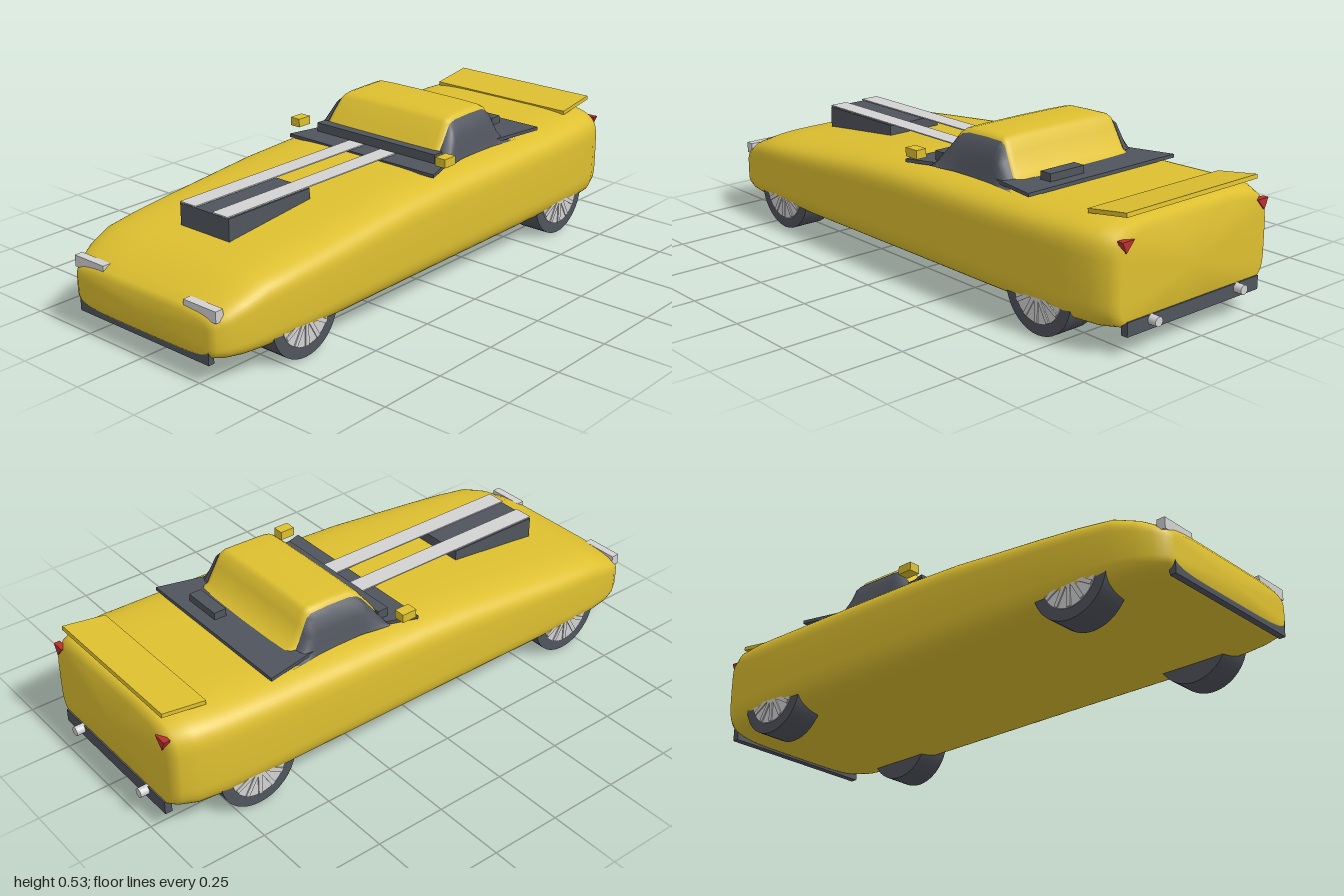
import * as THREE from 'three';

const paint = new THREE.MeshStandardMaterial({ color: 0xdec030, side: THREE.DoubleSide });
paint.name = 'yellow paint';
const dark = new THREE.MeshStandardMaterial({ color: 0x50545d, side: THREE.DoubleSide });
dark.name = 'dark trim';
const silver = new THREE.MeshStandardMaterial({ color: 0xd2d2d2 });
silver.name = 'light silver';
const red = new THREE.MeshStandardMaterial({ color: 0xb83030 });
red.name = 'red lens';

function add(parent, name, geometry, material, x = 0, y = 0, z = 0) {
  const mesh = new THREE.Mesh(geometry, material);
  mesh.name = name;
  mesh.position.set(x, y, z);
  parent.add(mesh);
  return mesh;
}

// Box given by its extents on each axis
function box(parent, name, material, [x0, x1], [y0, y1], [z0, z1]) {
  return add(parent, name, new THREE.BoxGeometry(x1 - x0, y1 - y0, z1 - z0), material,
    (x0 + x1) / 2, (y0 + y1) / 2, (z0 + z1) / 2);
}

// Smooth skin over rows of points; closed rows wrap around and get end caps
function skin(rows, closed = false) {
  const n = rows[0].length, pos = rows.flat(2), index = [];
  const spans = closed ? n : n - 1;
  for (let i = 0; i < rows.length - 1; i++) {
    for (let j = 0; j < spans; j++) {
      const k = (j + 1) % n;
      const a = i * n + j, b = i * n + k, d = a + n, c = b + n;
      index.push(a, d, b, b, d, c);
    }
  }
  if (closed) {
    const last = (rows.length - 1) * n, front = rows.length * n;
    for (const row of [rows[0], rows[rows.length - 1]]) {
      const ys = row.map((p) => p[1]);
      pos.push(0, (Math.min(...ys) + Math.max(...ys)) / 2, row[0][2]);
    }
    for (let j = 0; j < n; j++) {
      const k = (j + 1) % n;
      index.push(front, j, k, front + 1, last + k, last + j);
    }
  }
  const g = new THREE.BufferGeometry();
  g.setAttribute('position', new THREE.Float32BufferAttribute(pos, 3));
  g.setIndex(index);
  g.computeVertexNormals();
  return g;
}

// Flat outline extruded along z
function plate(points, depth) {
  const shape = new THREE.Shape(points.map((p) => new THREE.Vector2(...p)));
  return new THREE.ExtrudeGeometry(shape, { depth, bevelEnabled: false });
}

// Rounded-rectangle sections: z, half width, bottom, top
function bodyGeometry() {
  const stations = [
    [1.0, 0.29, 0.09, 0.21], [0.985, 0.315, 0.075, 0.23], [0.95, 0.338, 0.067, 0.25],
    [0.9, 0.358, 0.063, 0.278], [0.82, 0.373, 0.06, 0.31], [0.7, 0.381, 0.06, 0.326],
    [0.55, 0.385, 0.06, 0.342], [0.38, 0.386, 0.06, 0.36], [0.2, 0.387, 0.06, 0.379],
    [0, 0.387, 0.06, 0.39], [-0.3, 0.387, 0.06, 0.397], [-0.6, 0.386, 0.06, 0.404],
    [-0.78, 0.382, 0.06, 0.41], [-0.88, 0.37, 0.063, 0.41], [-0.935, 0.347, 0.07, 0.398],
    [-0.965, 0.32, 0.08, 0.38],
  ];
  const power = (v) => Math.sign(v) * Math.abs(v) ** 0.4;
  return skin(stations.map(([z, w, lo, hi]) => {
    const row = [];
    for (let j = 0; j < 64; j++) {
      const t = (j / 64) * Math.PI * 2;
      row.push([w * power(Math.cos(t)), (lo + hi) / 2 + (hi - lo) / 2 * power(Math.sin(t)), z]);
    }
    return row;
  }), true);
}

function addCabin(car) {
  const cabin = new THREE.Group();
  cabin.name = 'cabin';
  car.add(cabin);

  // Roof line from windscreen base to tail: z, y, half width
  const line = [
    [-0.09, 0.41, 0.256], [-0.13, 0.468, 0.25], [-0.165, 0.512, 0.244], [-0.18, 0.524, 0.24],
    [-0.21, 0.531, 0.237], [-0.29, 0.534, 0.236], [-0.36, 0.534, 0.238], [-0.38, 0.524, 0.24],
    [-0.4, 0.485, 0.243], [-0.43, 0.425, 0.248], [-0.48, 0.405, 0.253],
  ];
  const across = [[1, 0.02], [0.97, 0.008], [0.9, 0.003], [0.6, 0.001], [0, 0]];
  const full = [...across, ...across.slice(0, -1).reverse().map(([f, d]) => [-f, d])];
  add(cabin, 'roof', skin(line.map(([z, y, w]) => full.map(([f, d]) => [f * w, y - d, z]))), paint);

  // Side windows flare out from the roof edge to the base
  for (const s of [1, -1]) {
    const rows = line.map(([z, y, w]) => {
      const top = y - 0.018, h = Math.max(top - 0.39, 0);
      return [[w, top], [w + 0.018, 0.39 + h * 0.88], [w + 0.034, 0.39 + h * 0.55],
        [w + 0.042, 0.39 + h * 0.22], [w + 0.05, 0.39]].map(([x, v]) => [s * x, v, z]);
    });
    add(cabin, s > 0 ? 'leftWindow' : 'rightWindow', skin(rows), dark);
  }

  // Waisted base plate, tilted slightly towards the nose
  const edge = [[0.325, -0.01], [0.29, 0.1], [0.28, 0.16], [0.28, 0.36], [0.29, 0.42], [0.325, 0.58]];
  const outline = [...edge, ...edge.map(([x, y]) => [-x, y]).reverse()];
  const base = add(cabin, 'cabinBase', plate(outline, 0.012), dark, 0, 0.384, 0);
  base.rotation.x = -Math.PI / 2 + 0.034;

  box(cabin, 'windscreenCowl', dark, [-0.265, 0.265], [0.39, 0.43], [-0.11, -0.07]);
  box(cabin, 'rearVent', dark, [0.045, 0.19], [0.4, 0.44], [-0.535, -0.49]);
}

// Wheel with its axle on x and its outer face towards +x
function makeWheel() {
  const wheel = new THREE.Group();
  const disc = (name, r, width, material, x) => {
    add(wheel, name, new THREE.CylinderGeometry(r, r, width, 40), material, x).rotation.z = Math.PI / 2;
  };
  disc('tyre', 0.14, 0.11, dark, 0);
  disc('rim', 0.102, 0.006, silver, 0.055);
  disc('hub', 0.022, 0.012, silver, 0.056);
  for (let i = 0; i < 12; i++) {
    const a = (i / 12) * Math.PI * 2;
    const spoke = add(wheel, 'spoke', new THREE.BoxGeometry(0.008, 0.08, 0.014), silver,
      0.058, 0.06 * Math.cos(a), 0.06 * Math.sin(a));
    spoke.rotation.x = a;
  }
  return wheel;
}

export function createModel() {
  const car = new THREE.Group();
  car.name = 'car';
  add(car, 'body', bodyGeometry(), paint);
  addCabin(car);

  // Bonnet scoop, bumpers and spoiler
  box(car, 'bonnetScoop', dark, [-0.108, 0.108], [0.3, 0.397], [0.37, 0.728]);
  box(car, 'frontBumper', dark, [-0.29, 0.29], [0.068, 0.117], [0.975, 0.997]);
  box(car, 'rearBumper', dark, [-0.295, 0.295], [0.066, 0.112], [-0.97, -0.945]);
  const spoiler = add(car, 'spoiler', new THREE.BoxGeometry(0.58, 0.014, 0.157), paint, 0, 0.42, -0.873);
  spoiler.rotation.x = 0.15;

  for (const s of [1, -1]) {
    const side = s > 0 ? 'left' : 'right';
    const span = (a, b) => (s > 0 ? [a, b] : [-b, -a]);
    const mirrored = (points) => points.map(([x, y]) => [s * x, y]);

    // Stripe, lamps, mirror and exhaust on each side
    box(car, side + 'Stripe', silver, span(0.037, 0.105), [0.399, 0.403], [-0.06, 0.73]);
    const lamp = [[0.18, 0.245], [0.18, 0.222], [0.25, 0.213], [0.29, 0.207], [0.316, 0.207], [0.316, 0.245]];
    add(car, side + 'Headlight', plate(mirrored(lamp), 0.03), silver, 0, 0, 0.957);
    const tail = [[0.275, 0.362], [0.325, 0.362], [0.308, 0.325]];
    add(car, side + 'TailLight', plate(mirrored(tail), 0.022), red, 0, 0, -0.97);
    box(car, side + 'Mirror', paint, span(0.307, 0.348), [0.415, 0.445], [-0.075, -0.02]);
    const pipe = add(car, side + 'Exhaust', new THREE.CylinderGeometry(0.016, 0.016, 0.06, 20), silver,
      s * 0.193, 0.097, -0.97);
    pipe.rotation.x = Math.PI / 2;

    // Front and rear wheels
    for (const z of [0.67, -0.67]) {
      const wheel = makeWheel();
      wheel.name = side + (z > 0 ? 'FrontWheel' : 'RearWheel');
      wheel.position.set(s * 0.313, 0.14, z);
      if (s < 0) wheel.rotation.y = Math.PI;
      car.add(wheel);
    }
  }
  return car;
}
